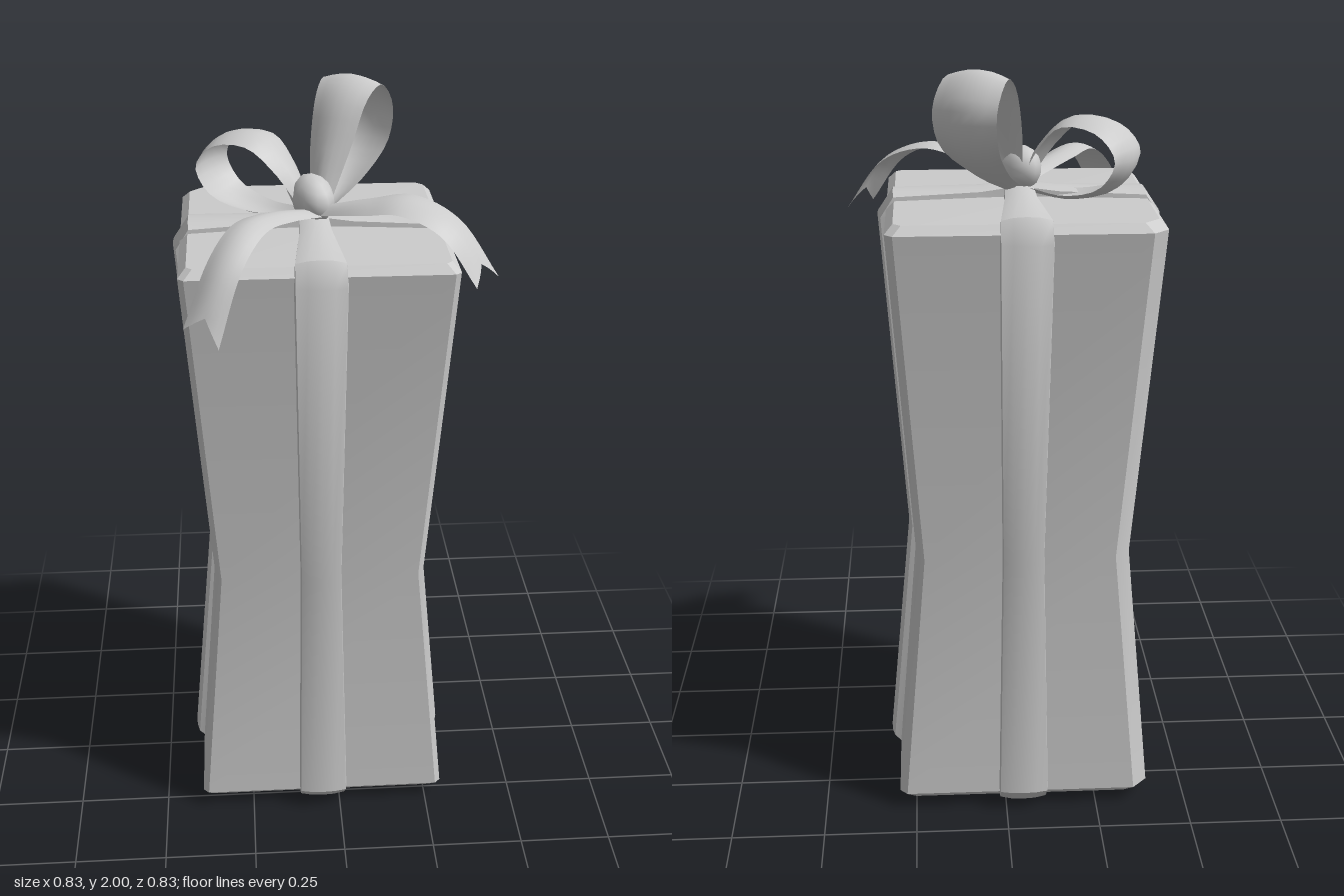
import * as THREE from 'three';
import { toCreasedNormals } from 'three/addons/utils/BufferGeometryUtils.js';

const V = (x, y, z) => new THREE.Vector3(x, y, z);
const CX = -0.05, CZ = -0.05; // centre of the box

// Skin a grid of points: columns run across, rows run along
function loft(rows, crease) {
  const n = rows[0].length, pos = [], index = [];
  rows.forEach(r => r.forEach(p => pos.push(p.x, p.y, p.z)));
  for (let i = 0; i < rows.length - 1; i++) {
    for (let j = 0; j < n - 1; j++) {
      const a = i * n + j, b = a + 1, c = a + n, d = c + 1;
      index.push(a, b, d, a, d, c);
    }
  }
  const g = new THREE.BufferGeometry();
  g.setAttribute('position', new THREE.Float32BufferAttribute(pos, 3));
  g.setIndex(index);
  return toCreasedNormals(g.toNonIndexed(), crease);
}

// Soft strip between two edge curves, puffed along its normal, with an optional notched end
function strip(left, right, bulge, notch = 0) {
  const L = new THREE.CatmullRomCurve3(left), R = new THREE.CatmullRomCurve3(right);
  const rows = [], steps = 24, across = 6;
  for (let i = 0; i <= steps; i++) {
    const t = i / steps, a = L.getPoint(t), b = R.getPoint(t);
    const dir = L.getTangent(t).add(R.getTangent(t)).normalize();
    const side = b.clone().sub(a);
    const normal = side.clone().cross(dir).normalize();
    const row = [];
    for (let j = 0; j <= across; j++) {
      const v = j / across, k = 1 - Math.abs(2 * v - 1);
      row.push(a.clone().lerp(b, v)
        .addScaledVector(normal, bulge * Math.sin(Math.PI * v))
        .addScaledVector(dir, -notch * k * t ** 6));
    }
    rows.push(row);
  }
  return loft(rows, 1.2);
}

// Bow loop: profile entries are [distance out, height, half width]
function bowLoop(x, z, angle, profile) {
  const d = V(Math.cos(angle), 0, Math.sin(angle)), p = V(-d.z, 0, d.x);
  const edge = s => profile.map(([o, y, w]) =>
    V(x, y, z).addScaledVector(d, o).addScaledVector(p, s * w));
  return strip(edge(-1), edge(1), 0.018);
}

// Box: chamfered square sections, pinched at the waist
function boxGeometry() {
  const ring = (hx, hz, y) => {
    const pts = [];
    // corners in order: front left-hand, front right-hand, back right-hand, back left-hand
    [[-1, 1, 0.015], [1, 1, 0.015], [1, -1, 0.02], [-1, -1, 0.04]].forEach(([sx, sz, c]) => {
      const a = V(CX + sx * (hx - c), y, CZ + sz * hz);
      const b = V(CX + sx * hx, y, CZ + sz * (hz - c));
      pts.push(...(sx * sz < 0 ? [b, a] : [a, b]));
    });
    return [...pts, pts[0].clone()];
  };
  const cap = y => Array.from({ length: 9 }, () => V(CX, y, CZ));
  return loft([
    cap(0.02), ring(0.32, 0.315, 0.02), ring(0.345, 0.34, 0.045),
    ring(0.285, 0.272, 0.73),
    ring(0.346, 0.34, 1.63), ring(0.325, 0.32, 1.652), cap(1.655),
  ], 0.5);
}

// Ribbon wrapped right round the box in the yz plane; entries are [z, y, half width]
function wrapGeometry() {
  const half = [
    [0, 0.025, 0.067], [0.315, 0.025, 0.067], [0.345, 0.055, 0.068],
    [0.28, 0.73, 0.056], [0.343, 1.61, 0.067], [0.322, 1.646, 0.066],
    [0.1, 1.652, 0.043], [0, 1.665, 0.038],
  ];
  const path = [...half, ...half.slice(1, -1).reverse().map(([z, y, w]) => [-z, y, w])];
  const n = path.length;
  const section = [[-1, -0.008], [-0.95, 0.016], [-0.5, 0.023], [0, 0.025], [0.5, 0.023], [0.95, 0.016], [1, -0.008]];
  const rows = path.map(([z, y, w], i) => {
    const a = path[(i + n - 1) % n], b = path[(i + 1) % n];
    const dz = b[0] - a[0], dy = b[1] - a[1], len = Math.hypot(dz, dy);
    return section.map(([u, o]) => V(u * w, y - o * dz / len, z + o * dy / len));
  });
  rows.push(rows[0].map(p => p.clone()));
  return loft(rows, 0.8);
}

export function createModel() {
  const group = new THREE.Group();
  const mat = new THREE.MeshStandardMaterial({ color: 0xcccccc, side: THREE.DoubleSide });
  const add = (name, geometry) => {
    const mesh = new THREE.Mesh(geometry, mat);
    mesh.name = name;
    group.add(mesh);
    return mesh;
  };

  add('giftBox', boxGeometry());

  // Two crossing ribbons
  const wrap = wrapGeometry();
  ['frontRibbon', 'sideRibbon'].forEach((name, i) => {
    const m = add(name, wrap);
    m.position.set(CX + 0.002, 0, CZ + 0.002);
    m.rotation.y = i * Math.PI / 2;
  });

  // Bow loops
  add('rightBowLoop', bowLoop(-0.07, -0.06, Math.atan2(-0.514, -0.857), [
    [0, 1.7, 0.03], [0.06, 1.79, 0.055], [0.13, 1.85, 0.075], [0.23, 1.84, 0.08],
    [0.28, 1.78, 0.08], [0.24, 1.71, 0.075], [0.13, 1.675, 0.055], [0.02, 1.68, 0.03],
  ]));
  add('leftBowLoop', bowLoop(-0.03, -0.07, Math.atan2(-0.85, 0.53), [
    [0, 1.7, 0.03], [0.06, 1.84, 0.06], [0.12, 1.95, 0.075], [0.18, 1.978, 0.085],
    [0.24, 1.91, 0.09], [0.225, 1.82, 0.085], [0.13, 1.74, 0.06], [0.02, 1.69, 0.03],
  ]));

  // Hanging tails with notched ends
  add('leftTail', strip(
    [V(-0.03, 1.69, -0.06), V(0.1, 1.735, 0.01), V(0.2, 1.755, 0.05), V(0.31, 1.71, 0.11), V(0.41, 1.57, 0.16)],
    [V(-0.04, 1.69, 0.01), V(0.07, 1.725, 0.12), V(0.15, 1.74, 0.17), V(0.25, 1.7, 0.215), V(0.34, 1.575, 0.25)],
    0.015, 0.05));
  add('rightTail', strip(
    [V(-0.03, 1.69, 0.02), V(-0.11, 1.71, 0.11), V(-0.18, 1.72, 0.22), V(-0.24, 1.66, 0.32), V(-0.3, 1.5, 0.41)],
    [V(-0.1, 1.69, -0.02), V(-0.2, 1.72, 0.08), V(-0.265, 1.725, 0.18), V(-0.32, 1.67, 0.26), V(-0.385, 1.53, 0.35)],
    0.015, 0.05));

  // Knot
  const knot = add('knot', new THREE.SphereGeometry(1, 10, 8));
  knot.scale.set(0.054, 0.06, 0.073);
  knot.position.set(-0.05, 1.72, -0.045);
  knot.rotation.set(0.3, 0.35, 0, 'YXZ');

  return group;
}
